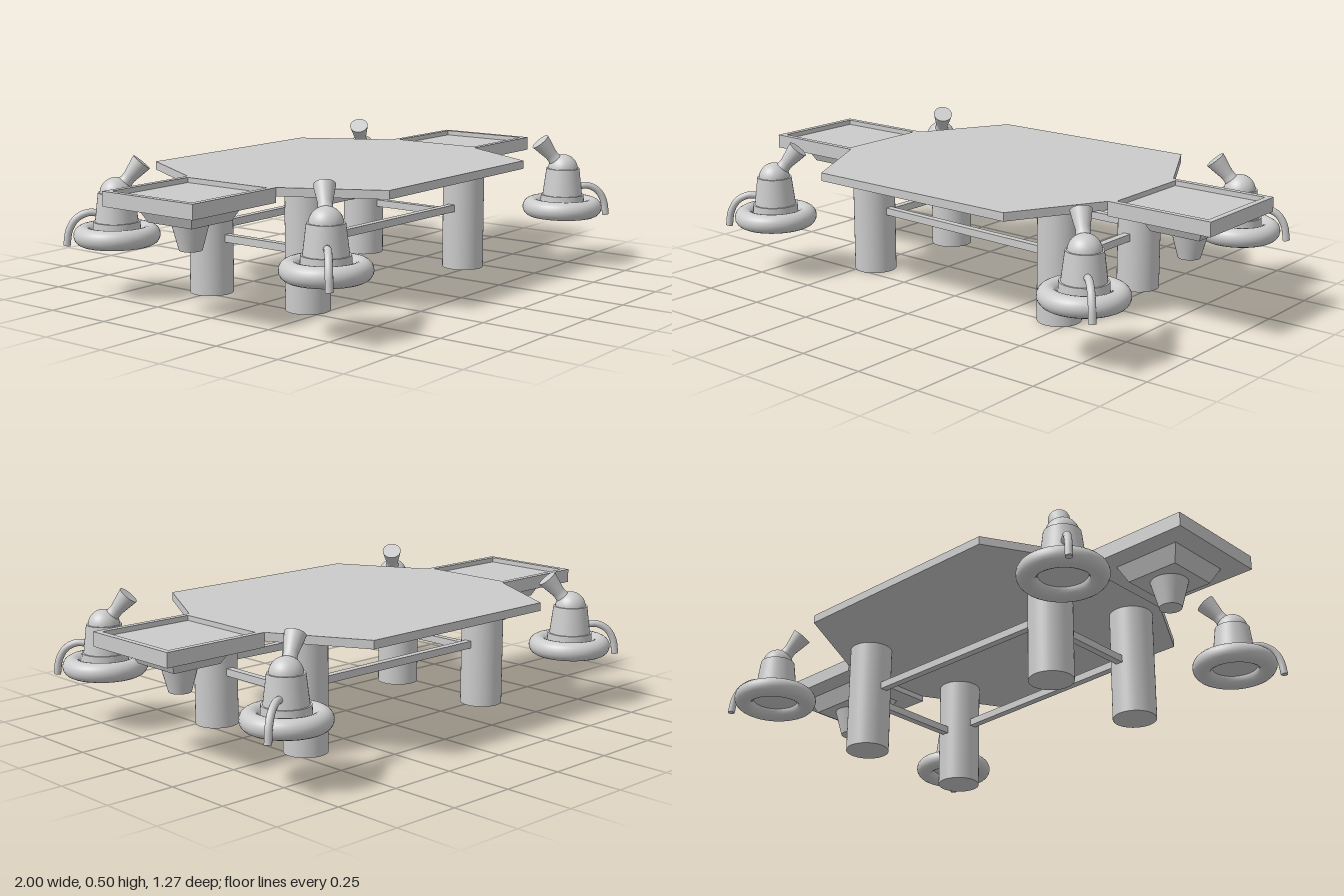
import * as THREE from 'three';

const grey = new THREE.MeshStandardMaterial({ color: 0xcccccc });
const CZ = -0.04; // centre line of the table in z
const TOP = 0.437;

function add(parent, name, geometry, x = 0, y = 0, z = 0) {
  const mesh = new THREE.Mesh(geometry, grey);
  mesh.name = name;
  mesh.position.set(x, y, z);
  parent.add(mesh);
  return mesh;
}

const points = (list) => list.map(([a, b]) => new THREE.Vector2(a, b));

// Flat plate: outline in x/z, extruded downward from y = 0
function plate(outline, depth, hole) {
  const shape = new THREE.Shape(points(outline));
  if (hole) shape.holes.push(new THREE.Path(points(hole)));
  return new THREE.ExtrudeGeometry(shape, { depth, bevelEnabled: false }).rotateX(Math.PI / 2);
}

const square = (h) => [[-h, -h], [h, -h], [h, h], [-h, h]];

// Tray with a raised rim, on a square funnel and a round spigot
function makeTray(side) {
  const tray = new THREE.Group();
  tray.name = side > 0 ? 'leftTray' : 'rightTray';
  tray.position.set(side * 0.8, 0, CZ);
  add(tray, 'trayRim', plate(square(0.2), 0.018, square(0.178)), 0, TOP, 0);
  add(tray, 'trayFloor', new THREE.BoxGeometry(0.4, 0.033, 0.4), 0, TOP - 0.0345, 0);
  const funnel = new THREE.CylinderGeometry(0.125 * Math.SQRT2, 0.097 * Math.SQRT2, 0.056, 4)
    .rotateY(Math.PI / 4).toNonIndexed();
  funnel.computeVertexNormals();
  add(tray, 'trayFunnel', funnel, 0, 0.358, 0);
  add(tray, 'traySpigot', new THREE.CylinderGeometry(0.065, 0.039, 0.096, 32), 0, 0.282, 0);
  return tray;
}

// Seat: ring, bell body, dome, flared spout (+x) and curved tail (-x)
function makeSeat(x, z, dx, dz) {
  const seat = new THREE.Group();
  seat.name = 'seat';
  seat.position.set(x, 0, z);
  seat.rotation.y = Math.atan2(-dz, dx);

  add(seat, 'seatRing', new THREE.TorusGeometry(0.117, 0.035, 20, 48).rotateX(Math.PI / 2), 0, 0.219, 0);
  add(seat, 'seatSkirt', new THREE.CylinderGeometry(0.082, 0.085, 0.05, 40), 0, 0.243, 0);
  add(seat, 'seatBody', new THREE.CylinderGeometry(0.063, 0.076, 0.105, 40), 0, 0.3175, 0);
  add(seat, 'seatDome', new THREE.SphereGeometry(0.057, 32, 16, 0, Math.PI * 2, 0, Math.PI / 2), 0, 0.366, 0);

  const spout = new THREE.LatheGeometry(
    points([[0.03, 0.03], [0.024, 0.06], [0.024, 0.075], [0.031, 0.11], [0.037, 0.142]]), 28);
  const head = new THREE.Group();
  head.name = 'seatHead';
  head.position.y = 0.366;
  head.rotation.z = -0.7;
  add(head, 'seatSpout', spout);
  add(head, 'spoutEnd', new THREE.CircleGeometry(0.037, 28).rotateX(-Math.PI / 2), 0, 0.142, 0);
  seat.add(head);

  const path = new THREE.CatmullRomCurve3([
    [-0.06, 0.298], [-0.1, 0.3], [-0.14, 0.28], [-0.165, 0.24], [-0.175, 0.185],
  ].map(([a, b]) => new THREE.Vector3(a, b, 0)));
  add(seat, 'seatTail', new THREE.TubeGeometry(path, 24, 0.013, 14));
  add(seat, 'tailEnd', new THREE.CircleGeometry(0.013, 14).rotateX(Math.PI / 2), -0.175, 0.185, 0);
  return seat;
}

export function createModel() {
  const model = new THREE.Group();
  model.name = 'tableWithSeats';

  // Eight-sided top
  add(model, 'tableTop', plate([
    [-0.42, -0.53], [0.42, -0.53], [0.6, -0.2], [0.6, 0.2],
    [0.42, 0.53], [-0.42, 0.53], [-0.6, 0.2], [-0.6, -0.2],
  ], 0.03), 0, TOP, CZ);

  // Legs
  const legs = [[-0.46, 0.18], [0.443, 0.213], [-0.46, -0.262], [0.443, -0.265]];
  for (const [x, z] of legs) {
    add(model, 'leg', new THREE.CylinderGeometry(0.078, 0.078, 0.408, 40), x, 0.204, z);
  }

  // Rails from leg to leg
  const rail = (a, b, y) => {
    const [dx, dz] = [b[0] - a[0], b[1] - a[1]];
    const bar = add(model, 'rail', new THREE.BoxGeometry(Math.hypot(dx, dz), 0.027, 0.027),
      (a[0] + b[0]) / 2, y, (a[1] + b[1]) / 2);
    bar.rotation.y = Math.atan2(-dz, dx);
  };
  rail(legs[0], legs[1], 0.237);
  rail(legs[2], legs[3], 0.237);
  rail(legs[0], legs[2], 0.204);
  rail(legs[1], legs[3], 0.204);

  for (const side of [-1, 1]) model.add(makeTray(side));

  // Seats at the corners, spouts turned toward the table
  model.add(
    makeSeat(-0.708, -0.482, 0.73, 0.68),
    makeSeat(0.725, -0.487, -0.87, 0.49),
    makeSeat(-0.708, 0.455, 0.75, -0.66),
    makeSeat(0.738, 0.476, -0.7, -0.71),
  );
  return model;
}
